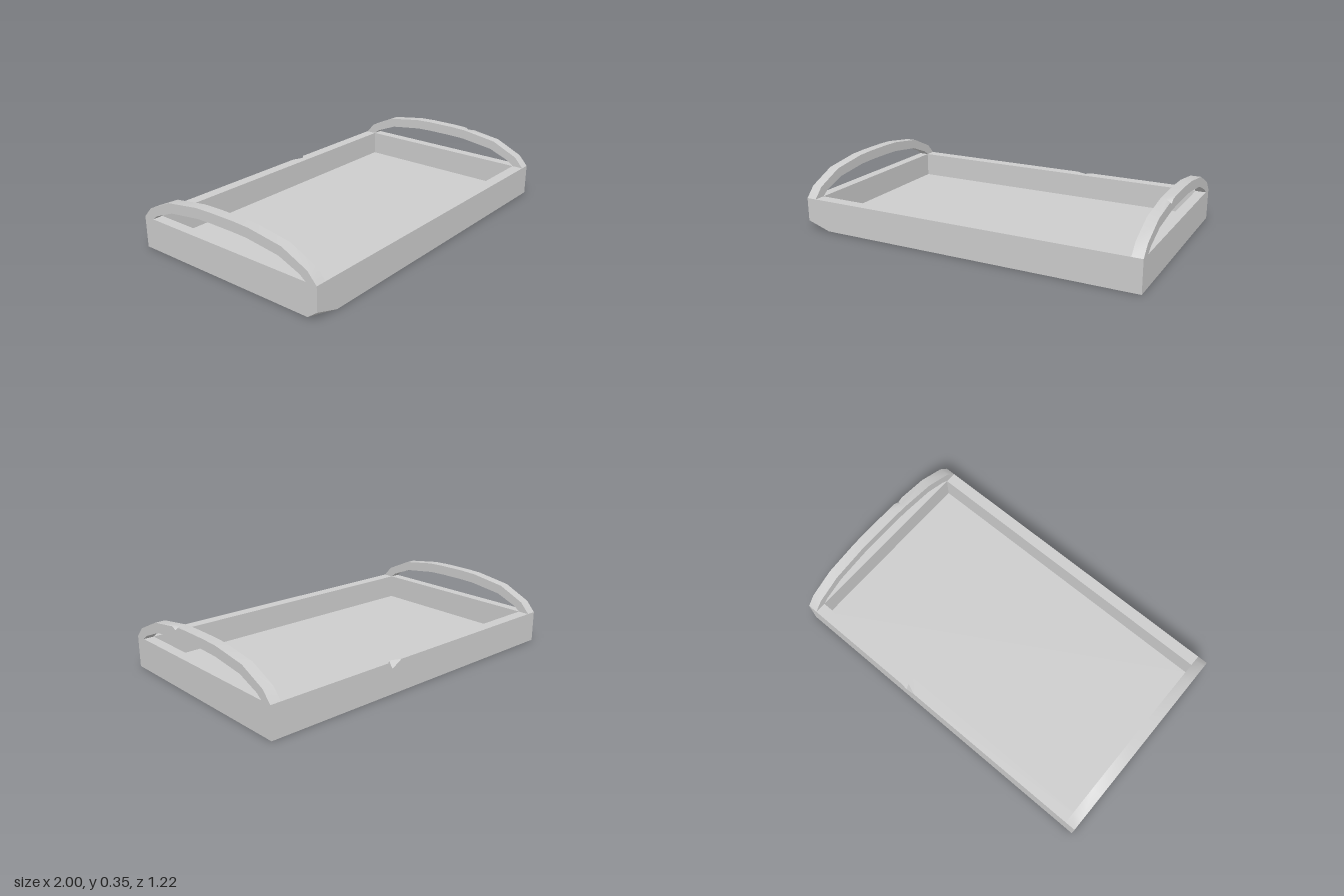
import * as THREE from 'three';
import { ConvexGeometry } from 'three/addons/geometries/ConvexGeometry.js';
import { mergeGeometries, toCreasedNormals } from 'three/addons/utils/BufferGeometryUtils.js';

const X = 1, Z = 0.612, RIM = 0.18, FLOOR = 0.035;
const INX = 0.94, INZ = 0.545;

const hull = (points) => new ConvexGeometry(points.map((p) => new THREE.Vector3(...p)));

// The eight corners of a box, with one corner optionally replaced by cut points
function boxCorners(min, max, corner, cuts = []) {
  const points = [];
  for (const x of [min[0], max[0]])
    for (const y of [min[1], max[1]])
      for (const z of [min[2], max[2]])
        if (!corner || x !== corner[0] || y !== corner[1] || z !== corner[2]) points.push([x, y, z]);
  return [...points, ...cuts];
}

// Outer and inner edge of the handle arch as [z, y], from the front foot to the middle
const OUTER = [[Z, RIM], [0.557, 0.24], [0.4, 0.312], [0.187, 0.343], [0.085, 0.347]];
const INNER = [[INZ, RIM], [0.51, 0.207], [0.38, 0.259], [0.175, 0.286], [0.075, 0.289]];
const wholeArch = (half) => [...half, ...half.slice().reverse().map(([z, y]) => [-z, y])];

// Arch made of straight segments; a chip can be knocked out of the outer edge at one joint
function archGeometry(x0, x1, chipped) {
  const outer = wholeArch(OUTER), inner = wholeArch(INNER);
  const joint = 3;
  const segments = [];
  for (let i = 0; i < outer.length - 1; i++) {
    const points = [];
    for (const j of [i, i + 1]) {
      const [z, y] = outer[j];
      points.push([x0, y, z], [x0, inner[j][1], inner[j][0]], [x1, inner[j][1], inner[j][0]]);
      if (chipped && j === joint) {
        points.push([x1 - 0.03, y, z], [x1, y - 0.018, z]);
        points.push(i < joint ? [x1, 0.338, 0.22] : [x1, 0.3439, 0.163]);
      } else {
        points.push([x1, y, z]);
      }
    }
    segments.push(hull(points));
  }
  return toCreasedNormals(mergeGeometries(segments), 0.75);
}

export function createModel() {
  const tray = new THREE.Group();
  tray.name = 'tray';
  const grey = new THREE.MeshStandardMaterial({ color: 0xcccccc });
  grey.name = 'plain grey';

  const add = (name, geometry) => {
    const mesh = new THREE.Mesh(geometry, grey);
    mesh.name = name;
    tray.add(mesh);
  };

  // Floor panel
  add('floor', hull(boxCorners([-INX, 0, -INZ], [INX, FLOOR, INZ])));

  // Front wall with a broken lower corner
  add('frontWall', hull(boxCorners([-X, 0, INZ], [X, RIM, Z], [-X, 0, Z],
    [[-X, 0.045, Z], [-0.86, 0, Z], [-X, 0, 0.552]])));

  // Back wall: two halves meeting at a nick in the top outer edge
  const nick = 0.225;
  const nickPoints = [[nick, RIM, -0.586], [nick, 0.142, -Z]];
  add('backWall', mergeGeometries([
    hull(boxCorners([-X, 0, -Z], [nick, RIM, -INZ], [nick, RIM, -Z], [...nickPoints, [0.16, RIM, -Z]])),
    hull(boxCorners([nick, 0, -Z], [X, RIM, -INZ], [nick, RIM, -Z], [...nickPoints, [0.255, RIM, -Z]])),
  ]));

  // Side walls and arched handles
  for (const [side, x0, x1] of [['left', INX, X], ['right', -X, -INX]]) {
    add(`${side}Wall`, hull(boxCorners([x0, 0, -INZ], [x1, RIM, INZ])));
    add(`${side}Handle`, archGeometry(x0, x1, side === 'left'));
  }
  return tray;
}
